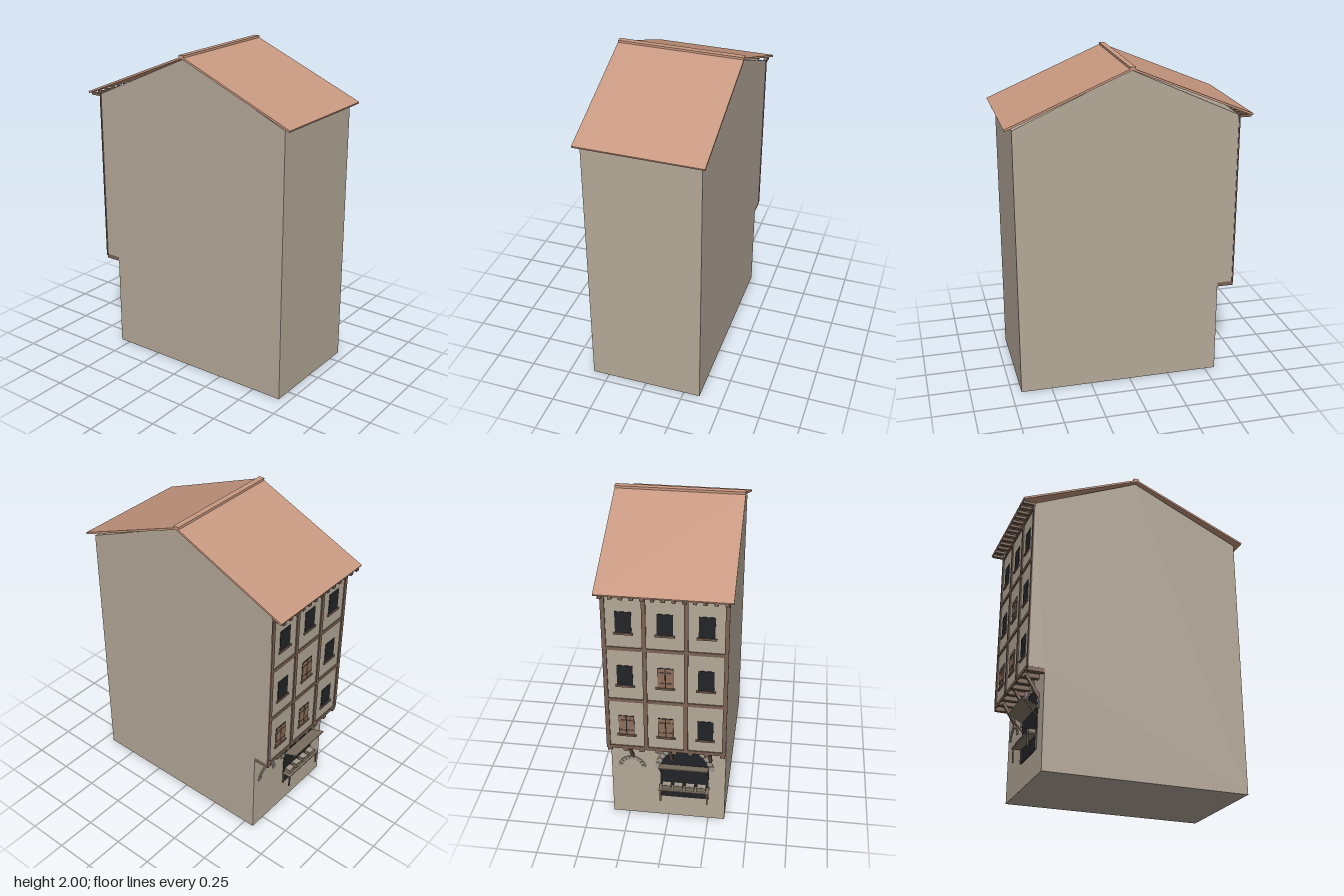
import * as THREE from 'three';

const mat = (name, color, side = THREE.FrontSide) => {
  const m = new THREE.MeshStandardMaterial({ color, side });
  m.name = name;
  return m;
};

export function createModel() {
  const plaster = mat('plaster', 0xb5a999);
  const tile = mat('roof tile', 0xc89880);
  const timber = mat('timber', 0x7a6254);
  const shutterWood = mat('shutter wood', 0x8f6f5c);
  const dark = mat('dark opening', 0x222427);
  const stone = mat('stone', 0xa0988a);
  const greyWood = mat('grey wood', 0x857a6a);

  const house = new THREE.Group();
  house.name = 'townhouse';

  const add = (name, geo, material, parent = house) => {
    const m = new THREE.Mesh(geo, material);
    m.name = name;
    parent.add(m);
    return m;
  };
  const box = (name, material, w, h, d, x, y, z, parent) => {
    const m = add(name, new THREE.BoxGeometry(w, h, d), material, parent);
    m.position.set(x, y, z);
    return m;
  };
  // Square bar between two points
  const bar = (name, material, a, b, t, w = t) => {
    const p = new THREE.Vector3(...a), q = new THREE.Vector3(...b);
    const m = add(name, new THREE.BoxGeometry(w, t, p.distanceTo(q)), material);
    m.position.copy(p).add(q).multiplyScalar(0.5);
    m.lookAt(q);
    return m;
  };

  // Body: gabled side profile with the upper storeys overhanging at the back
  const profile = new THREE.Shape([
    [-0.69, 0], [0.565, 0], [0.565, 0.6], [0.66, 0.6],
    [0.66, 1.675], [0, 1.977], [-0.69, 1.67],
  ].map(([x, y]) => new THREE.Vector2(x, y)));
  const body = new THREE.ExtrudeGeometry(profile, { depth: 0.705, bevelEnabled: false });
  body.translate(0, 0, -0.3525).rotateY(Math.PI / 2);
  add('walls', body, plaster);

  // Roof slopes, ridge cap and eave rafters
  for (const s of [-1, 1]) {
    bar('roofSlope', tile, [0, 1.987, 0], [0, 1.68, s * 0.735], 0.012, 0.76);
  }
  box('ridgeCap', tile, 0.76, 0.02, 0.035, 0, 1.99, -0.002);
  for (let i = 0; i < 13; i++) {
    box('eaveRafter', timber, 0.022, 0.016, 0.08, -0.345 + i * 0.0575, 1.668, -0.695);
  }

  // Timber frame on the overhanging wall
  const floors = [0.6, 0.945, 1.3, 1.652];
  for (const x of [-0.345, -0.118, 0.118, 0.345]) {
    box('post', timber, 0.024, 1.07, 0.008, x, 1.135, -0.663);
  }
  for (const y of floors) box('railBeam', timber, 0.712, 0.022, 0.007, 0, y + 0.003, -0.6625);

  // Windows, some with closed shutters
  const shuttered = new Set(['0,0', '0,1', '1,1']);
  for (let row = 0; row < 3; row++) {
    for (let col = 0; col < 3; col++) {
      const x = 0.233 * (1 - col), y = 0.767 + row * 0.355;
      const win = new THREE.Group();
      win.name = 'window';
      win.position.set(x, y, -0.66);
      house.add(win);
      box('opening', dark, 0.092, 0.135, 0.004, 0, 0, -0.001, win);
      box('sill', timber, 0.112, 0.012, 0.01, 0, -0.073, -0.004, win);
      if (!shuttered.has(row + ',' + col)) continue;
      for (const s of [-1, 1]) {
        box('shutter', shutterWood, 0.041, 0.13, 0.004, s * 0.0235, 0, -0.003, win);
        for (const dy of [-0.036, 0.036]) {
          box('shutterBatten', timber, 0.036, 0.009, 0.004, s * 0.0235, dy, -0.006, win);
        }
      }
    }
  }

  // Jetty joists and braces
  for (let i = 0; i < 8; i++) {
    box('joist', timber, 0.028, 0.026, 0.105, -0.338 + i * 0.0966, 0.587, -0.6125);
  }
  for (const x of [-0.26, -0.02, 0.22]) {
    bar('brace', timber, [x, 0.455, -0.563], [x, 0.585, -0.645], 0.018);
  }

  // Arched shop opening as a thin plate
  const shopX = -0.1, shopR = 0.15, spring = 0.385;
  const arch = new THREE.Shape();
  arch.moveTo(-shopR, 0.155);
  arch.lineTo(shopR, 0.155);
  arch.lineTo(shopR, spring);
  arch.absarc(0, spring, shopR, 0, Math.PI, false);
  const shop = add('shopOpening', new THREE.ExtrudeGeometry(arch, { depth: 0.004, bevelEnabled: false, curveSegments: 10 }), dark);
  shop.position.set(shopX, 0, -0.568);

  // Arch stones: separate wedges around a half circle
  const archStones = (name, cx, cy, r0, r1, n) => {
    const g = new THREE.Group();
    g.name = name;
    g.position.set(cx, cy, -0.571);
    house.add(g);
    for (let i = 0; i < n; i++) {
      const a = (i + 0.1) * Math.PI / n, b = (i + 0.9) * Math.PI / n;
      const s = new THREE.Shape();
      s.moveTo(r0 * Math.cos(a), r0 * Math.sin(a));
      s.lineTo(r1 * Math.cos(a), r1 * Math.sin(a));
      s.lineTo(r1 * Math.cos(b), r1 * Math.sin(b));
      s.lineTo(r0 * Math.cos(b), r0 * Math.sin(b));
      add('archStone', new THREE.ExtrudeGeometry(s, { depth: 0.008, bevelEnabled: false }), stone, g);
    }
  };
  archStones('shopArch', shopX, spring, 0.15, 0.18, 13);
  archStones('doorArch', 0.225, 0.37, 0.062, 0.086, 9);

  // Propped-up shop flap with its struts
  bar('shopFlap', greyWood, [shopX, 0.41, -0.566], [shopX, 0.45, -0.66], 0.005, 0.3);
  for (const s of [-1, 1]) {
    const x = shopX + s * 0.145;
    bar('flapStrut', timber, [x, 0.35, -0.566], [x, 0.448, -0.658], 0.006);
  }

  // Market counter with crates
  box('counterTop', greyWood, 0.31, 0.008, 0.06, shopX, 0.246, -0.595);
  for (const s of [-1, 1]) {
    for (const z of [-0.57, -0.617]) {
      box('counterLeg', timber, 0.01, 0.088, 0.008, shopX + s * 0.145, 0.202, z);
    }
  }
  for (let i = 0; i < 4; i++) {
    const x = shopX - 0.108 + i * 0.072;
    box('crate', greyWood, 0.056, 0.026, 0.042, x, 0.262, -0.59);
    box('crateGoods', stone, 0.046, 0.004, 0.032, x, 0.275, -0.59);
  }
  return house;
}
